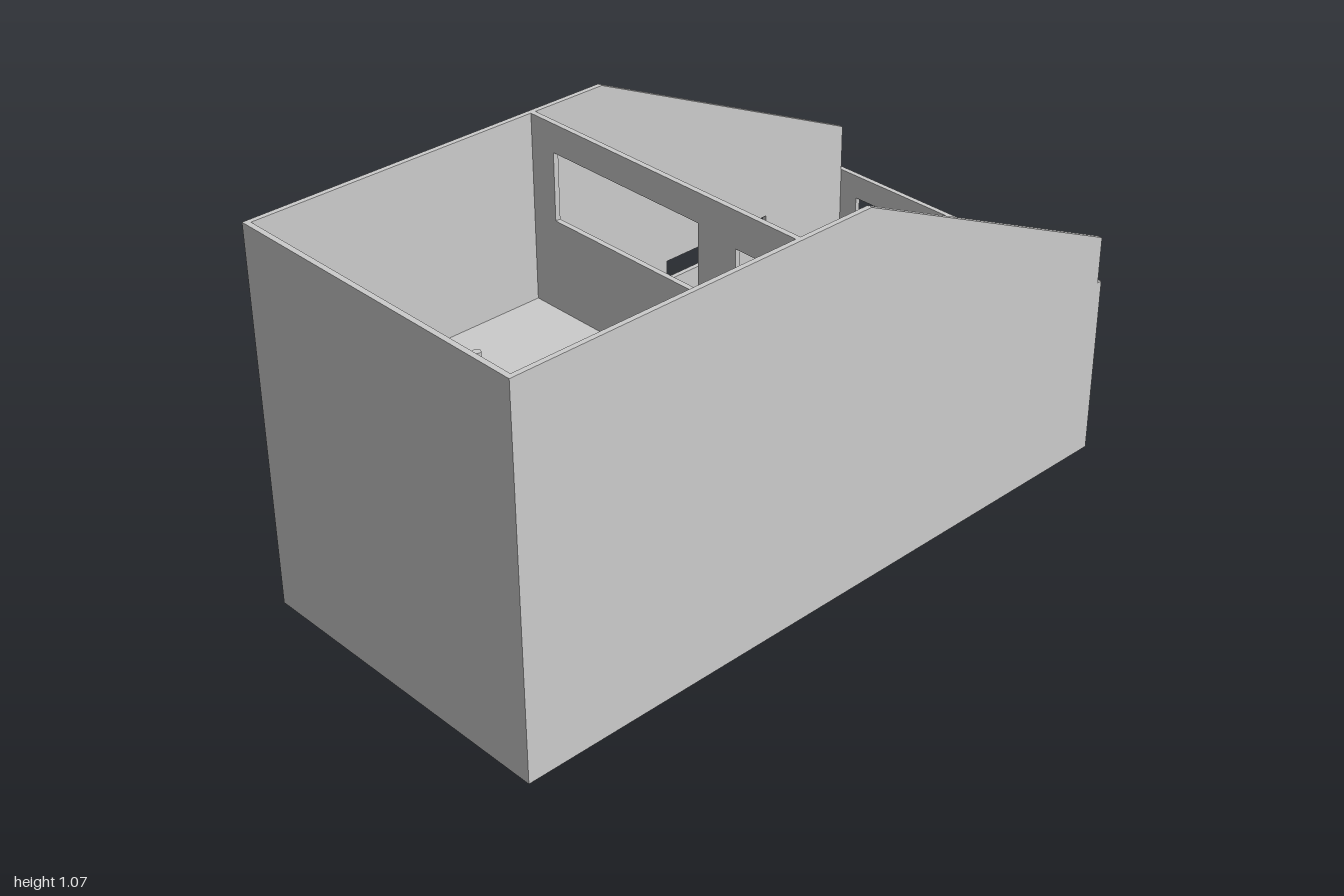
import * as THREE from 'three';

const mat = new THREE.MeshStandardMaterial({ color: 0xcccccc, side: THREE.DoubleSide });

function add(parent, name, geo, x = 0, y = 0, z = 0) {
  const m = new THREE.Mesh(geo, mat);
  m.name = name;
  m.position.set(x, y, z);
  parent.add(m);
  return m;
}

function group(parent, name, x = 0, y = 0, z = 0, turn = 0) {
  const g = new THREE.Group();
  g.name = name;
  g.position.set(x, y, z);
  g.rotation.y = turn;
  parent.add(g);
  return g;
}

// Box given by its minimum and maximum corners
function box(parent, name, x0, x1, y0, y1, z0, z1) {
  return add(parent, name, new THREE.BoxGeometry(x1 - x0, y1 - y0, z1 - z0),
    (x0 + x1) / 2, (y0 + y1) / 2, (z0 + z1) / 2);
}

const cyl = (r0, r1, h, n = 16) => new THREE.CylinderGeometry(r0, r1, h, n);
const rect = (u0, u1, v0, v1) => [[u0, v0], [u1, v0], [u1, v1], [u0, v1]];

// Flat outline with holes, extruded along z
function slab(outline, holes, depth) {
  const pts = a => a.map(p => new THREE.Vector2(...p));
  const shape = new THREE.Shape(pts(outline));
  holes.forEach(h => shape.holes.push(new THREE.Path(pts(h))));
  return new THREE.ExtrudeGeometry(shape, { depth, bevelEnabled: false });
}

// Wall drawn in (z, y); x is its right-hand face
function crossWall(parent, name, x, outline, holes, t = 0.015) {
  return add(parent, name, slab(outline, holes, t).rotateY(-Math.PI / 2), x);
}

function rod(parent, name, pts, r) {
  const c = new THREE.CatmullRomCurve3(pts.map(p => new THREE.Vector3(...p)));
  return add(parent, name, new THREE.TubeGeometry(c, pts.length * 6, r, 8), 0, 0, 0);
}

function chair(parent, x, z, turn) {
  // Back stands at local -z
  const g = group(parent, 'chair', x, 0.012, z, turn);
  box(g, 'seat', -0.04, 0.04, 0.078, 0.086, -0.04, 0.04);
  for (const s of [-1, 1]) {
    add(g, 'frontLeg', cyl(0.004, 0.004, 0.08, 8), s * 0.034, 0.04, 0.034);
    add(g, 'backLeg', cyl(0.004, 0.004, 0.165, 8), s * 0.034, 0.083, -0.036);
  }
  box(g, 'backRest', -0.04, 0.04, 0.138, 0.173, -0.041, -0.033);
}

export function createModel() {
  const house = new THREE.Group();
  house.name = 'house';

  // Shell
  box(house, 'groundFloor', -1, 1, 0, 0.012, -0.469, 0.469);
  const side = [[-1, 0], [0.985, 0], [0.985, 0.655], [0.08, 1.07], [-1, 1.07]];
  add(house, 'frontWall', slab(side, [], 0.014), 0, 0, 0.456);
  add(house, 'backWall', slab(side, [rect(0.3, 0.68, 0.42, 0.48), rect(-0.735, -0.355, 0.42, 0.48)], 0.014), 0, 0, -0.47);
  crossWall(house, 'leftEndWall', -0.985, rect(-0.47, 0.47, 0, 1.07), []);
  crossWall(house, 'entranceWall', 1,
    [[-0.47, 0], [-0.165, 0], [-0.165, 0.425], [0.01, 0.425], [0.01, 0], [0.47, 0], [0.47, 0.52], [-0.47, 0.52]],
    [rect(-0.395, -0.24, 0.25, 0.45), rect(0.21, 0.365, 0.42, 0.48)]);
  crossWall(house, 'partitionWall', -0.14, rect(-0.456, 0.456, 0, 1.07),
    [rect(0.265, 0.435, 0.545, 0.97), rect(-0.375, 0.14, 0.8, 0.99), rect(-0.255, 0.14, 0.25, 0.435)]);
  box(house, 'loftFloor', -0.985, -0.155, 0.52, 0.545, -0.456, 0.456);

  // Stairs with a sloping underside
  const stairs = group(house, 'stairs');
  const n = 11, x0 = 0.315, run = 0.455 / n, rise = 0.533 / n;
  const outline = [[x0 - run, 0.012], [x0, 0.012]];
  for (let i = 0; i < n; i++) {
    outline.push([x0 - i * run, 0.012 + (i + 1) * rise], [x0 - (i + 1) * run, 0.012 + (i + 1) * rise]);
  }
  outline.push([-0.14, 0.48]);
  add(stairs, 'steps', slab(outline, [], 0.205), 0, 0, 0.25);
  const rail = [[0.295, 0.26, 0.254], [-0.135, 0.755, 0.254]];
  rod(stairs, 'handrail', rail, 0.003);
  for (let i = 0; i < 4; i++) {
    const x = 0.295 - i * 0.1433, y = 0.26 + i * 0.165;
    box(stairs, 'railPost', x - 0.003, x + 0.003, y - 0.205, y, 0.251, 0.257);
  }

  // Bed with corner posts
  const bed = group(house, 'bed');
  box(bed, 'bedFrame', -0.975, -0.57, 0.585, 0.61, -0.19, 0.11);
  box(bed, 'mattress', -0.968, -0.577, 0.61, 0.64, -0.183, 0.103);
  for (const x of [-0.972, -0.568]) {
    for (const z of [-0.192, 0.112]) add(bed, 'bedPost', cyl(0.011, 0.011, 0.125), x, 0.6075, z);
  }

  // Bedroom cabinets
  box(house, 'nightstand', -0.985, -0.905, 0.545, 0.657, -0.36, -0.285);
  const chest = group(house, 'chestOfDrawers');
  box(chest, 'body', -0.985, -0.882, 0.545, 0.71, 0.157, 0.357);
  box(chest, 'top', -0.985, -0.875, 0.71, 0.716, 0.155, 0.36);
  for (let i = 0; i < 3; i++) {
    const y = 0.565 + i * 0.049;
    box(chest, 'drawer', -0.882, -0.877, y, y + 0.044, 0.162, 0.352);
    add(chest, 'knob', new THREE.SphereGeometry(0.004, 10, 8), -0.873, y + 0.022, 0.31);
    add(chest, 'knob', new THREE.SphereGeometry(0.004, 10, 8), -0.873, y + 0.022, 0.2);
  }

  // Round table and three chairs
  const table = group(house, 'diningTable', 0.15, 0, -0.112);
  add(table, 'tableTop', cyl(0.13, 0.13, 0.014, 40), 0, 0.148, 0);
  add(table, 'pedestal', cyl(0.014, 0.014, 0.13), 0, 0.077, 0);
  add(table, 'base', cyl(0.03, 0.05, 0.01, 24), 0, 0.017, 0);
  chair(house, 0.11, -0.268, 0);
  chair(house, 0.295, -0.117, -Math.PI / 2);
  chair(house, -0.005, -0.062, Math.PI / 2 + 0.25);

  // Kitchen units and open shelves
  const kitchen = group(house, 'kitchen');
  box(kitchen, 'counter', 0.41, 0.77, 0.012, 0.25, -0.456, -0.257);
  add(kitchen, 'counterKnob', new THREE.SphereGeometry(0.007, 10, 8), 0.475, 0.17, -0.253);
  box(kitchen, 'endCabinet', 0.77, 0.985, 0.012, 0.245, -0.456, -0.25);
  const shelves = group(house, 'shelfUnit');
  for (const z of [-0.456, -0.321]) box(shelves, 'sidePanel', -0.14, -0.065, 0.012, 0.41, z, z + 0.006);
  box(shelves, 'backPanel', -0.14, -0.135, 0.012, 0.41, -0.45, -0.321);
  for (const y of [0.015, 0.11, 0.207, 0.305, 0.407]) {
    box(shelves, 'shelf', -0.135, -0.067, y, y + 0.006, -0.45, -0.319);
  }

  // Bathroom walls with an open door
  const bath = group(house, 'bathroom');
  box(bath, 'sideWall', 0.585, 0.985, 0.012, 0.5, 0.155, 0.175);
  crossWall(bath, 'doorWall', 0.597,
    [[0.175, 0.012], [0.2, 0.012], [0.2, 0.42], [0.36, 0.42], [0.36, 0.012], [0.456, 0.012], [0.456, 0.5], [0.175, 0.5]], [], 0.012);
  const door = group(bath, 'bathroomDoor', 0.585, 0.012, 0.205, Math.PI + 0.83);
  box(door, 'doorLeaf', 0, 0.16, 0, 0.4, -0.003, 0.003);
  for (const s of [-1, 1]) add(door, 'doorKnob', new THREE.SphereGeometry(0.009, 12, 8), 0.15, 0.18, s * 0.011);

  // Toilet
  const toilet = group(bath, 'toilet', 0.706, 0.012, 0.285);
  const bowl = new THREE.LatheGeometry([[0.028, 0], [0.022, 0.04], [0.04, 0.085], [0.03, 0.085], [0.016, 0.055], [0, 0.05]]
    .map(p => new THREE.Vector2(...p)), 28);
  add(toilet, 'bowl', bowl).scale.z = 1.4;
  add(toilet, 'seatRing', new THREE.TorusGeometry(0.033, 0.007, 8, 32).rotateX(Math.PI / 2), 0, 0.088, 0).scale.z = 1.4;
  box(toilet, 'tank', -0.035, 0.035, 0.07, 0.145, -0.108, -0.078);
  box(toilet, 'tankLid', -0.038, 0.038, 0.145, 0.152, -0.11, -0.075);
  box(toilet, 'tankFoot', -0.018, 0.018, 0, 0.08, -0.1, -0.025);

  // Shower tray, pipe, head and taps
  const shower = group(bath, 'shower');
  const basin = new THREE.Path();
  const c = [[0.795, 0.21], [0.97, 0.21], [0.97, 0.43], [0.795, 0.43]], r = 0.03;
  c.forEach(([x, z], i) => basin.absarc(x + (i % 3 ? -r : r), z + (i < 2 ? r : -r), r,
    Math.PI + i * Math.PI / 2, Math.PI * 1.5 + i * Math.PI / 2));
  const tray = new THREE.Shape(rect(0.78, 0.985, 0.195, 0.456).map(p => new THREE.Vector2(...p)));
  tray.holes.push(basin);
  add(shower, 'trayRim', new THREE.ExtrudeGeometry(tray, { depth: 0.035, bevelEnabled: false }).rotateX(Math.PI / 2), 0, 0.047, 0);
  box(shower, 'trayBottom', 0.78, 0.985, 0.012, 0.018, 0.195, 0.456);
  add(shower, 'drain', cyl(0.01, 0.01, 0.004), 0.88, 0.02, 0.32);
  rod(shower, 'showerPipe', [[0.88, 0.15, 0.45], [0.88, 0.36, 0.445], [0.875, 0.4, 0.38], [0.88, 0.375, 0.3]], 0.005);
  add(shower, 'showerHead', cyl(0.01, 0.026, 0.03, 20), 0.88, 0.365, 0.285);
  box(shower, 'tapPlate', 0.84, 0.92, 0.14, 0.16, 0.446, 0.456);
  for (const x of [0.845, 0.88, 0.915]) add(shower, 'tap', cyl(0.009, 0.009, 0.03).rotateX(Math.PI / 2), x, 0.15, 0.432);

  return house;
}
